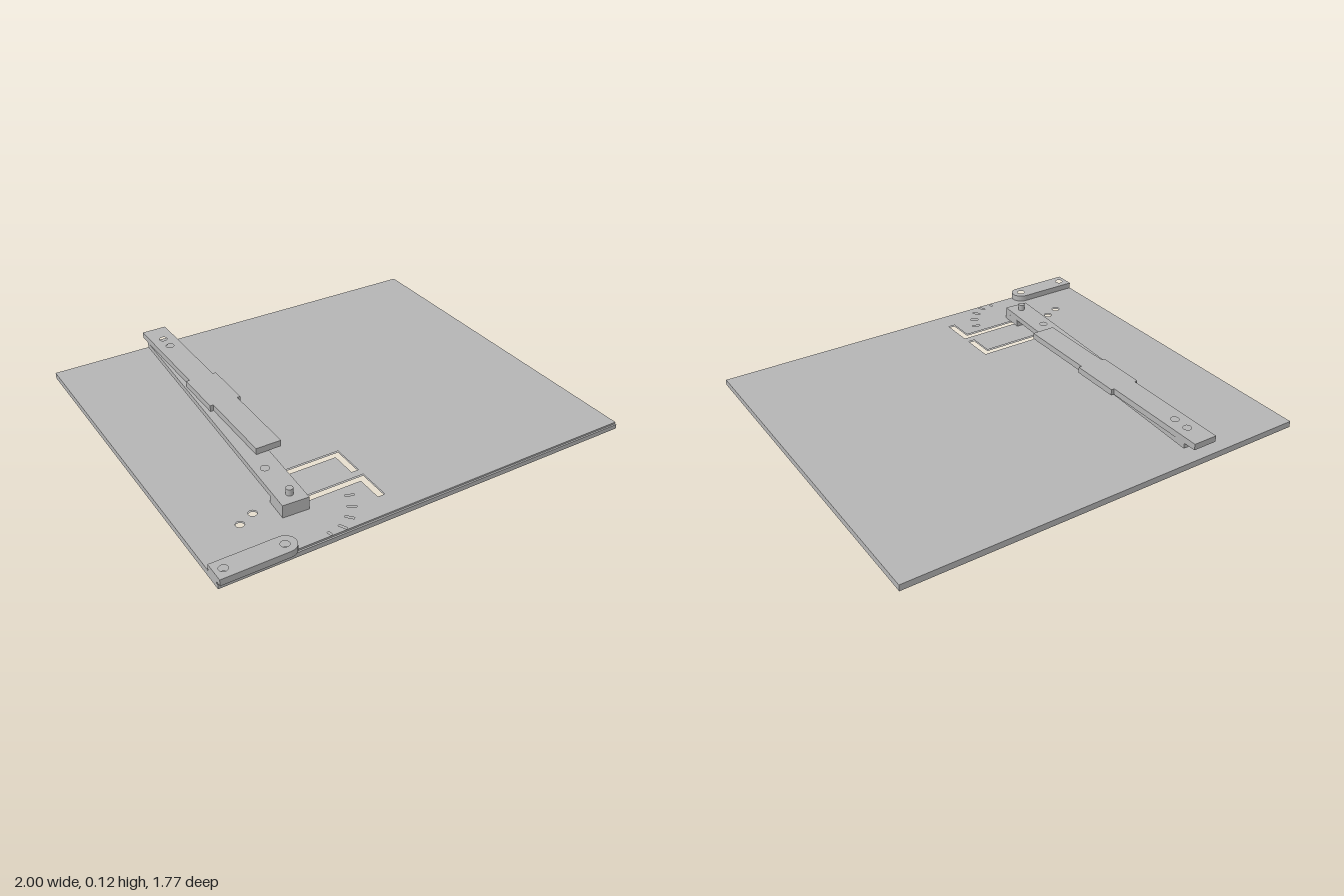
import * as THREE from 'three';

const steel = new THREE.MeshStandardMaterial({ color: 0xb4b4b4 });
steel.name = 'plain grey';

// Flat part outlined by [x, z] points, with holes, between heights y0 and y1
function slab(name, outline, holes, y0, y1) {
  const toV = (pts) => pts.map(([x, z]) => new THREE.Vector2(x, -z));
  const shape = new THREE.Shape(toV(outline));
  holes.forEach((h) => shape.holes.push(new THREE.Path(toV(h))));
  const geo = new THREE.ExtrudeGeometry(shape, { depth: y1 - y0, bevelEnabled: false });
  geo.rotateX(-Math.PI / 2).translate(0, y0, 0);
  const mesh = new THREE.Mesh(geo, steel);
  mesh.name = name;
  return mesh;
}

const rect = (x0, x1, z0, z1) => [[x0, z0], [x1, z0], [x1, z1], [x0, z1]];

const circle = (x, z, r = 0.019) =>
  Array.from({ length: 24 }, (_, i) => {
    const a = (i / 24) * Math.PI * 2;
    return [x + r * Math.cos(a), z + r * Math.sin(a)];
  });

// L-shaped slot whose long leg starts under the arm
const slot = (z) => [
  [-0.57, z], [-0.183, z], [-0.183, z + 0.16],
  [-0.217, z + 0.16], [-0.217, z + 0.034], [-0.57, z + 0.034],
];

const PIVOT = [-0.55, 0.61];

// Radial graduation mark around the pivot
function tick(deg, r0, r1) {
  const a = THREE.MathUtils.degToRad(deg), c = Math.cos(a), s = Math.sin(a), w = 0.005;
  return [[r0, -w], [r1, -w], [r1, w], [r0, w]].map(([r, t]) => [
    PIVOT[0] + r * c - t * s, PIVOT[1] + r * s + t * c,
  ]);
}

export function createModel() {
  const group = new THREE.Group();
  group.name = 'pivotArmPlate';

  // Base plate: full lower layer, upper layer with engraved marks and a narrow front step
  const barHoles = [circle(-0.96, 0.835), circle(-0.7, 0.835)];
  const through = [slot(0.391), slot(0.588), circle(-0.775, 0.61), circle(-0.7, 0.575), ...barHoles];
  const ticks = [16, 33, 49, 64].map((d) => tick(d, 0.23, 0.27));
  ticks.push(tick(79, 0.225, 0.247));
  group.add(slab('basePlate', rect(-1, 1, -0.885, 0.865), through, 0, 0.022));
  group.add(slab('engravedTop', rect(-1, 1, -0.885, 0.857), [...through, ...ticks], 0.022, 0.03));

  // Corner bar with one rounded end
  const bar = [[-1, 0.785]];
  for (let i = 0; i <= 16; i++) {
    const a = -Math.PI / 2 + (i / 16) * Math.PI;
    bar.push([-0.7 + 0.05 * Math.cos(a), 0.835 + 0.05 * Math.sin(a)]);
  }
  bar.push([-1, 0.885]);
  group.add(slab('cornerBar', bar, barHoles, 0.03, 0.06));

  // Slightly turned swing arm and the foot under its front end
  const cx = (z) => PIVOT[0] + (PIVOT[1] - z) * 0.052;
  const armOutline = (z0, z1) => [
    [cx(z0) - 0.06, z0], [cx(z0) + 0.06, z0 + 0.006],
    [cx(z1) + 0.06, z1], [cx(z1) - 0.06, z1 - 0.006],
  ];
  const screwHoles = [circle(-0.475, -0.77), circle(-0.475, -0.69)];
  group.add(slab('swingArm', armOutline(-0.828, 0.67), [circle(-0.55, 0.408), ...screwHoles], 0.063, 0.09));
  group.add(slab('armFoot', armOutline(0.55, 0.67), [], 0.03, 0.063));

  // Straight upper bar with a wider grip section
  const half = [[0.06, -0.885], [0.06, -0.343], [0.076, -0.343], [0.076, -0.095], [0.06, -0.095], [0.06, 0.305]];
  const upper = [
    ...half.map(([w, z]) => [-0.475 + w, z]),
    ...half.slice().reverse().map(([w, z]) => [-0.475 - w, z]),
  ];
  group.add(slab('upperBar', upper, screwHoles, 0.09, 0.12));

  // Pivot pin
  const pin = new THREE.Mesh(new THREE.CylinderGeometry(0.016, 0.016, 0.115, 24), steel);
  pin.name = 'pivotPin';
  pin.position.set(PIVOT[0], 0.0625, PIVOT[1]);
  group.add(pin);

  return group;
}
